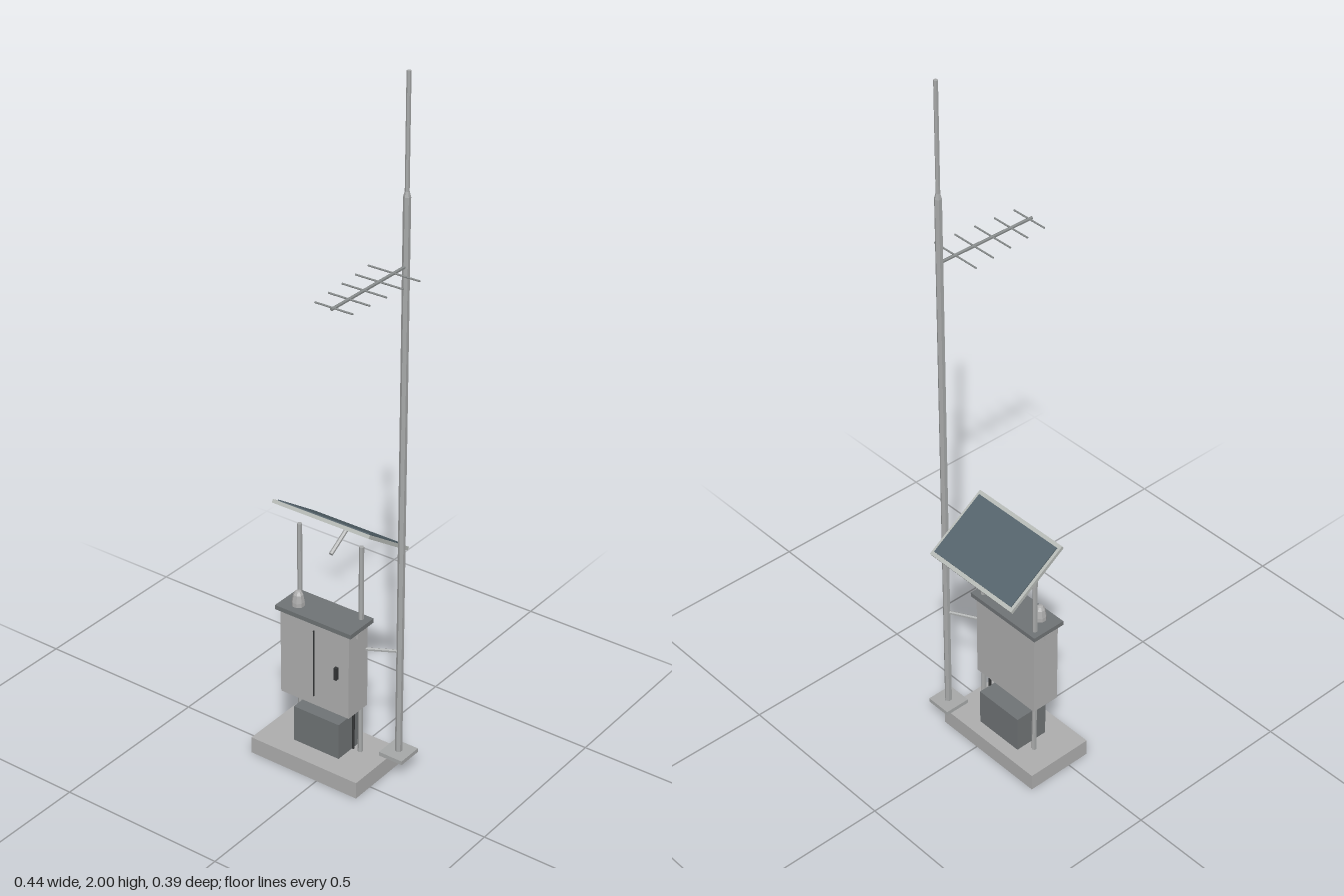
import * as THREE from 'three';

const mat = (name, color) => {
  const m = new THREE.MeshStandardMaterial({ color, flatShading: true });
  m.name = name;
  return m;
};

export function createModel() {
  const concrete = mat('concrete', 0xadadad);
  const steel = mat('galvanised steel', 0xa6a8a8);
  const cabinetGrey = mat('cabinet grey', 0xaeaeae);
  const darkGrey = mat('dark grey', 0x6f7375);
  const black = mat('black fittings', 0x333536);
  const frameGrey = mat('panel frame', 0xb4b8b4);
  const cells = mat('solar cells', 0x53626a);
  const antennaGrey = mat('antenna grey', 0x868a8a);

  const model = new THREE.Group();
  model.name = 'monitoringStation';

  const add = (name, geo, material, x, y, z, parent = model) => {
    const mesh = new THREE.Mesh(geo, material);
    mesh.name = name;
    mesh.position.set(x, y, z);
    parent.add(mesh);
    return mesh;
  };
  // Box given by its minimum and maximum corners
  const box = (name, material, [x0, y0, z0], [x1, y1, z1], parent) =>
    add(name, new THREE.BoxGeometry(x1 - x0, y1 - y0, z1 - z0), material,
      (x0 + x1) / 2, (y0 + y1) / 2, (z0 + z1) / 2, parent);
  // Straight rod between two points
  const rod = (name, material, a, b, r0, r1 = r0, sides = 6) => {
    const p = new THREE.Vector3(...a), q = new THREE.Vector3(...b);
    const d = q.clone().sub(p), mid = p.clone().add(q).multiplyScalar(0.5);
    const mesh = add(name, new THREE.CylinderGeometry(r1, r0, d.length(), sides), material, mid.x, mid.y, mid.z);
    mesh.quaternion.setFromUnitVectors(new THREE.Vector3(0, 1, 0), d.normalize());
    return mesh;
  };

  // Foundation and battery box
  box('foundation', concrete, [-0.222, 0, -0.137], [0.132, 0.05, 0.065]);
  box('batteryBox', darkGrey, [-0.122, 0.05, -0.098], [0.029, 0.16, 0.004]);

  // Support posts
  for (const x of [-0.148, 0.054]) rod('supportPost', steel, [x, 0.05, -0.061], [x, 0.694, -0.061], 0.007);
  rod('conduit', black, [0.031, 0.05, -0.06], [0.031, 0.2, -0.06], 0.004);

  // Cabinet with lid, door seam, handle and side catches
  box('cabinet', cabinetGrey, [-0.159, 0.2, -0.073], [0.067, 0.46, 0.011]);
  box('cabinetLid', darkGrey, [-0.17, 0.46, -0.083], [0.079, 0.473, 0.02]);
  box('doorSeam', black, [-0.049, 0.228, 0.011], [-0.046, 0.435, 0.014]);
  box('doorHandle', black, [0.024, 0.313, 0.011], [0.033, 0.35, 0.021]);
  for (const x of [-0.162, 0.07]) box('sideCatch', cabinetGrey, [x - 0.004, 0.437, -0.04], [x + 0.004, 0.454, -0.02]);

  // Domed beacon on the lid
  const domeProfile = [[0.018, 0], [0.018, 0.012], [0.014, 0.034], [0.008, 0.043], [0, 0.045]]
    .map(([r, y]) => new THREE.Vector2(r, y));
  add('beaconDome', new THREE.LatheGeometry(domeProfile, 8), cabinetGrey, -0.121, 0.473, -0.018)
    .rotation.y = Math.PI / 8;

  // Tilted solar panel, its glass facing up and back
  const panel = new THREE.Group();
  panel.name = 'solarPanel';
  panel.position.set(-0.046, 0.705, -0.104);
  panel.rotation.x = -0.593;
  model.add(panel);
  add('panelFrame', new THREE.BoxGeometry(0.313, 0.01, 0.212), frameGrey, 0, 0, 0, panel);
  add('panelCells', new THREE.BoxGeometry(0.296, 0.004, 0.19), cells, 0, 0.006, 0, panel);
  rod('panelStrut', steel, [-0.046, 0.635, -0.062], [-0.046, 0.68, -0.135], 0.006);

  // Mast with foot plate and thinner top section
  const mx = 0.145, mz = -0.112;
  box('mastFoot', steel, [0.107, 0.05, -0.15], [0.182, 0.062, -0.074]);
  rod('mast', steel, [mx, 0.06, mz], [mx, 1.68, mz], 0.01);
  rod('mastCollar', steel, [mx, 1.68, mz], [mx, 1.695, mz], 0.01, 0.006);
  rod('mastTop', steel, [mx, 1.69, mz], [mx, 2, mz], 0.006);
  rod('mastBracket', steel, [0.054, 0.38, -0.061], [mx, 0.38, mz], 0.005);

  // Directional antenna: boom with shortening cross elements
  rod('antennaBoom', antennaGrey, [mx, 1.497, mz], [mx, 1.497, 0.192], 0.0045);
  [0.077, 0.071, 0.066, 0.061, 0.056].forEach((half, i) => {
    const z = -0.061 + i * 0.061;
    rod('antennaElement', antennaGrey, [mx - half, 1.497, z], [mx + half, 1.497, z], 0.0024);
  });

  return model;
}
